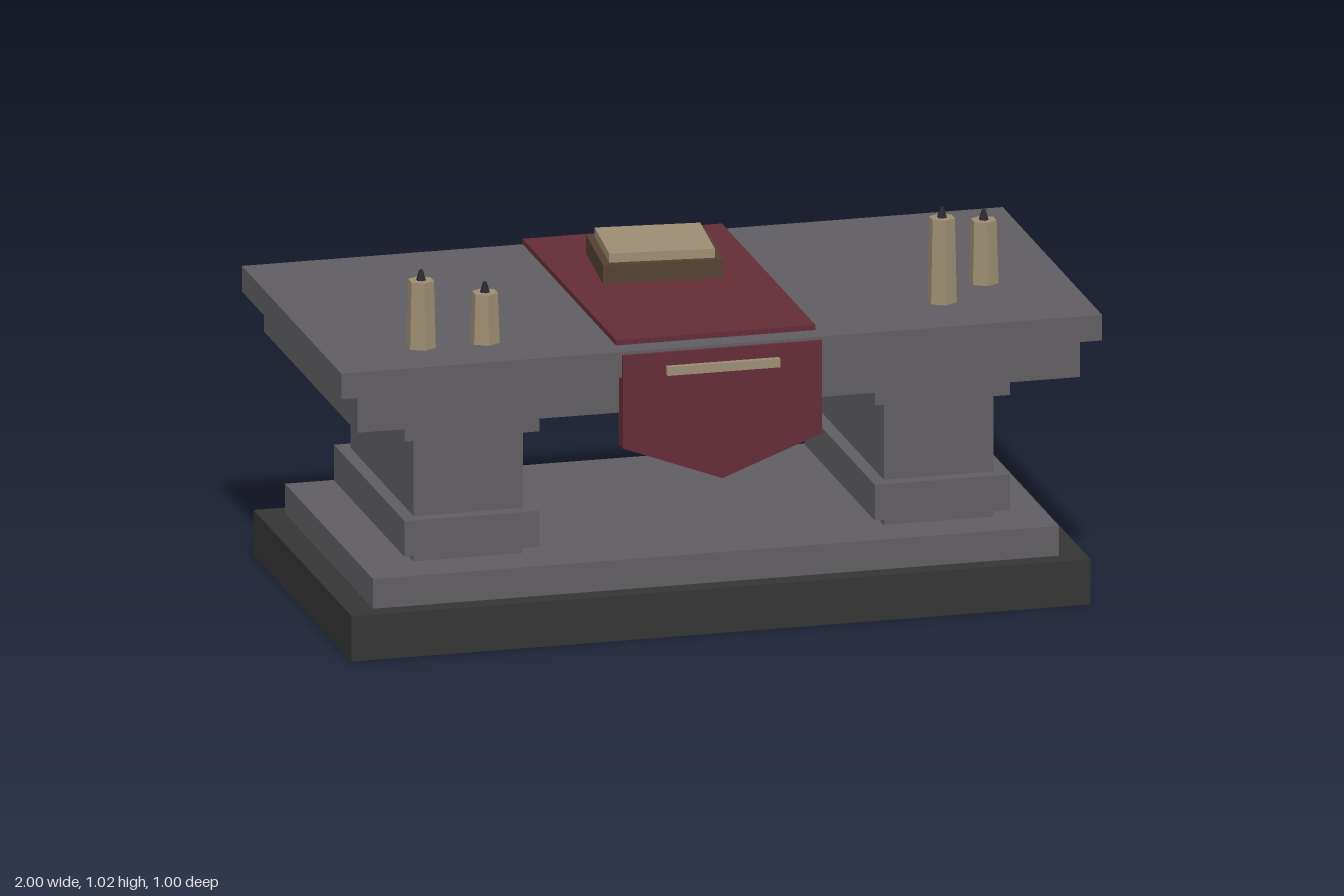
import * as THREE from 'three';

const mat = (name, color) => {
  const m = new THREE.MeshStandardMaterial({ color });
  m.name = name;
  return m;
};

export function createModel() {
  const model = new THREE.Group();
  model.name = 'altar';
  const stone = mat('grey stone', 0x605e62);
  const darkStone = mat('dark stone', 0x353535);
  const cloth = mat('red cloth', 0x642d37);
  const wax = mat('tan wax and paper', 0x9c8e73);
  const leather = mat('brown leather', 0x554032);
  const soot = mat('black wick', 0x2b2b2d);

  const add = (name, geometry, material, parent = model) => {
    const mesh = new THREE.Mesh(geometry, material);
    mesh.name = name;
    parent.add(mesh);
    return mesh;
  };
  // Box given by width, depth, bottom, top and centre
  const block = (name, w, d, y0, y1, x, z, material, parent) => {
    const mesh = add(name, new THREE.BoxGeometry(w, y1 - y0, d), material, parent);
    mesh.position.set(x, (y0 + y1) / 2, z);
    return mesh;
  };

  // Stepped base and table top
  const Z = -0.01;
  block('plinth', 1.942, 0.965, 0, 0.12, 0, Z, darkStone);
  block('baseStep', 1.803, 0.865, 0.12, 0.199, 0, Z, stone);
  block('underSlab', 1.9, 0.922, 0.599, 0.7, 0, Z, stone);
  block('tableTop', 2, 0.978, 0.7, 0.768, 0, Z, stone);

  // Two pillars, each with a foot and a cap
  for (const side of [-1, 1]) {
    const pillar = new THREE.Group();
    pillar.name = side > 0 ? 'leftPillar' : 'rightPillar';
    pillar.position.x = side * 0.618;
    model.add(pillar);
    block('shaft', 0.288, 0.62, 0.199, 0.599, 0, Z, stone, pillar);
    block('foot', 0.355, 0.695, 0.224, 0.319, 0, Z, stone, pillar);
    block('cap', 0.355, 0.695, 0.53, 0.599, 0, Z, stone, pillar);
  }

  // Cloth runner and its pointed front drop
  block('runner', 0.524, 0.92, 0.768, 0.782, 0, -0.04, cloth);
  const drop = new THREE.Shape([
    [-0.262, 0.76], [-0.262, 0.514], [0, 0.415], [0.262, 0.514], [0.262, 0.76],
  ].map(([x, y]) => new THREE.Vector2(x, y)));
  const dropGeometry = new THREE.ExtrudeGeometry(drop, { depth: 0.044, bevelEnabled: false });
  add('frontDrop', dropGeometry, cloth).position.z = 0.443;
  block('trimBar', 0.296, 0.022, 0.702, 0.725, 0, 0.491, wax);

  // Book, turned slightly
  const book = new THREE.Group();
  book.name = 'book';
  book.position.set(0, 0, -0.18);
  book.rotation.y = -0.1;
  model.add(book);
  block('cover', 0.31, 0.268, 0.784, 0.833, 0, 0, leather, book);
  block('pages', 0.272, 0.232, 0.833, 0.857, 0, 0, wax, book);

  // Six-sided tapered candles: x, z, top
  const candles = [
    [-0.743, 0.302, 0.945], [-0.575, 0.302, 0.9],
    [0.638, 0.259, 0.991], [0.784, 0.123, 0.934],
  ];
  for (const [x, z, top] of candles) {
    const candle = new THREE.Group();
    candle.name = 'candle';
    candle.position.set(x, 0.768, z);
    model.add(candle);
    const h = top - 0.768;
    const body = new THREE.CylinderGeometry(0.034, 0.039, h, 6).toNonIndexed();
    body.computeVertexNormals();
    add('candleBody', body, wax, candle).position.y = h / 2;
    const wick = new THREE.CylinderGeometry(0.005, 0.013, 0.027, 6).toNonIndexed();
    wick.computeVertexNormals();
    add('wick', wick, soot, candle).position.y = h + 0.0135;
  }
  return model;
}
